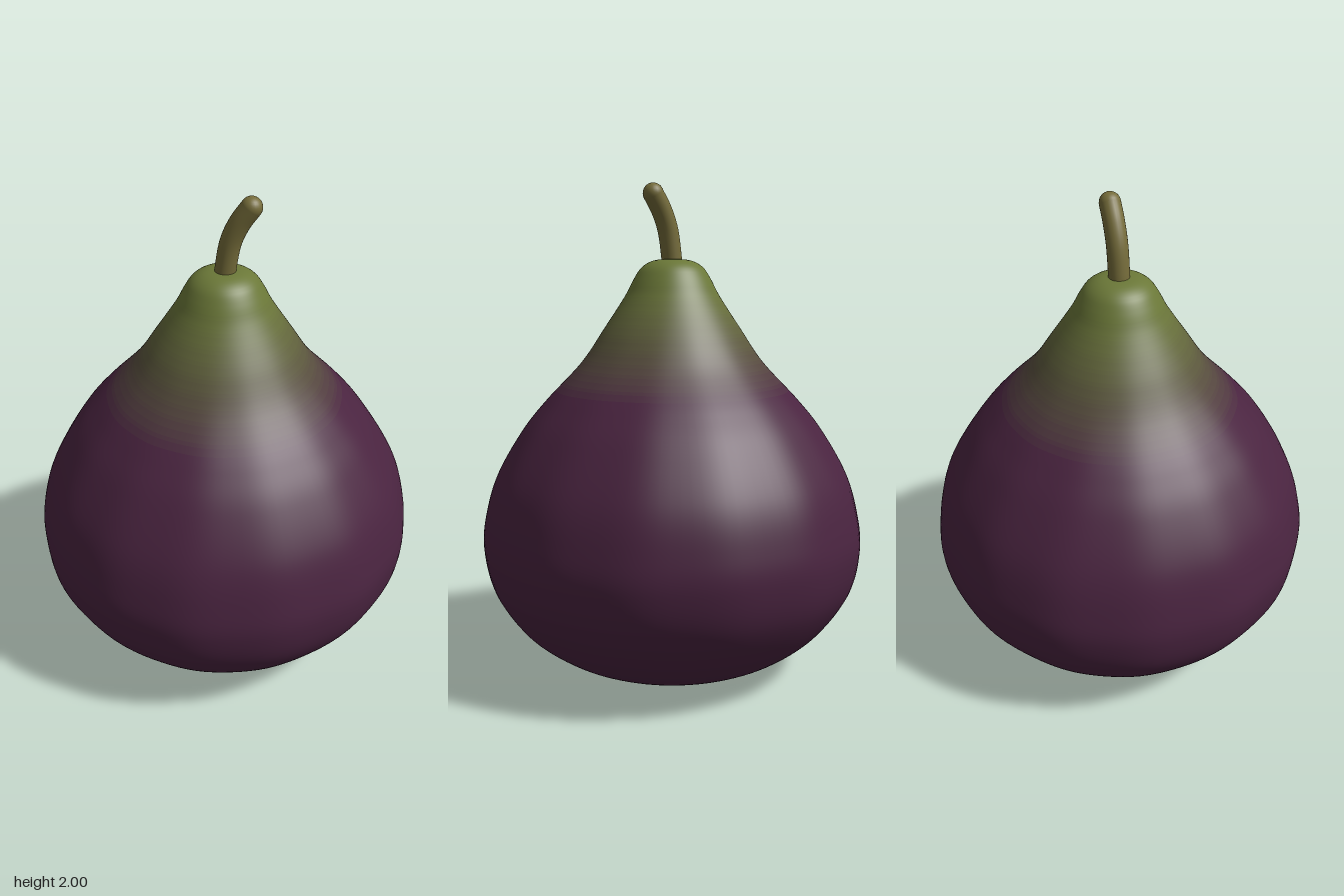
import * as THREE from 'three';
import { mergeVertices } from 'three/addons/utils/BufferGeometryUtils.js';

const PURPLE = new THREE.Color(0x4a2440);
const GREEN = new THREE.Color(0x6b7838);
const ROWS = 160, SEGMENTS = 112, BANDS = 24;

// Half outline of the fruit, from the dimple underneath to the top of the neck: [radius, height]
const OUTLINE = [
  [0, 0.05], [0.08, 0.04], [0.18, 0.012], [0.28, 0.003], [0.4, 0.035], [0.53, 0.1], [0.65, 0.2],
  [0.755, 0.36], [0.79, 0.52], [0.775, 0.66], [0.725, 0.82], [0.62, 1.0], [0.52, 1.125], [0.375, 1.28],
  [0.28, 1.42], [0.195, 1.55], [0.158, 1.62], [0.125, 1.668], [0.075, 1.695], [0, 1.702],
];

// Smooth, faintly ribbed skin, split into bands that fade from purple to green
function createFruit() {
  const curve = new THREE.SplineCurve(OUTLINE.map(([r, y]) => new THREE.Vector2(r, y)));
  const points = curve.getSpacedPoints(ROWS);
  points.forEach((p) => { p.x = Math.max(p.x, 0); p.y = Math.max(p.y, 0); });
  points[0].x = points[ROWS].x = 0;

  let skin = new THREE.LatheGeometry(points, SEGMENTS);
  skin.deleteAttribute('uv');
  skin.deleteAttribute('normal');
  skin = mergeVertices(skin, 1e-5);

  // Shallow ribs, strongest around the belly
  const pos = skin.attributes.position;
  for (let i = 0; i < pos.count; i++) {
    const x = pos.getX(i), z = pos.getZ(i), y = pos.getY(i);
    const fade = Math.sin(Math.PI * THREE.MathUtils.clamp(y / 1.5, 0, 1));
    const s = 1 + 0.004 * fade * Math.cos(14 * Math.atan2(x, z));
    pos.setXYZ(i, x * s, y, z * s);
  }
  skin.computeVertexNormals();

  // Sort the rows of faces by colour step; all bands share the same vertices and normals
  const bands = Array.from({ length: BANDS + 1 }, () => []);
  const index = skin.index.array;
  for (let k = 0; k < index.length; k += 6) {
    const row = (k / 6) % ROWS;
    const y = (points[row].y + points[row + 1].y) / 2;
    const t = THREE.MathUtils.clamp((y - 1.16) / 0.44, 0, 1);
    bands[Math.round(t * BANDS)].push(...index.subarray(k, k + 6));
  }

  const fruit = new THREE.Group();
  fruit.name = 'fruit';
  bands.forEach((faces, i) => {
    if (!faces.length) return;
    const geometry = new THREE.BufferGeometry();
    geometry.setAttribute('position', skin.attributes.position);
    geometry.setAttribute('normal', skin.attributes.normal);
    geometry.setIndex(faces);
    const color = PURPLE.clone().lerp(GREEN, i / BANDS);
    const band = new THREE.Mesh(geometry, new THREE.MeshStandardMaterial({ color }));
    band.name = i === 0 ? 'belly' : i === BANDS ? 'neck' : `blush${i}`;
    fruit.add(band);
  });
  return fruit;
}

// Bent stem leaning to +x, with a rounded tip
function createStem() {
  const radius = 0.042;
  const path = new THREE.CatmullRomCurve3([
    [0, 1.66], [0.006, 1.72], [0.025, 1.82], [0.058, 1.895], [0.101, 1.958],
  ].map(([x, y]) => new THREE.Vector3(x, y, 0)));
  const material = new THREE.MeshStandardMaterial({ color: 0x756c3a });

  const stem = new THREE.Group();
  stem.name = 'stem';
  const stalk = new THREE.Mesh(new THREE.TubeGeometry(path, 32, radius, 24), material);
  stalk.name = 'stalk';
  const tip = new THREE.Mesh(new THREE.SphereGeometry(radius, 24, 16), material);
  tip.name = 'stalkTip';
  tip.position.copy(path.getPoint(1));
  stem.add(stalk, tip);
  return stem;
}

export function createModel() {
  const model = new THREE.Group();
  model.name = 'fig';
  model.add(createFruit(), createStem());
  return model;
}
